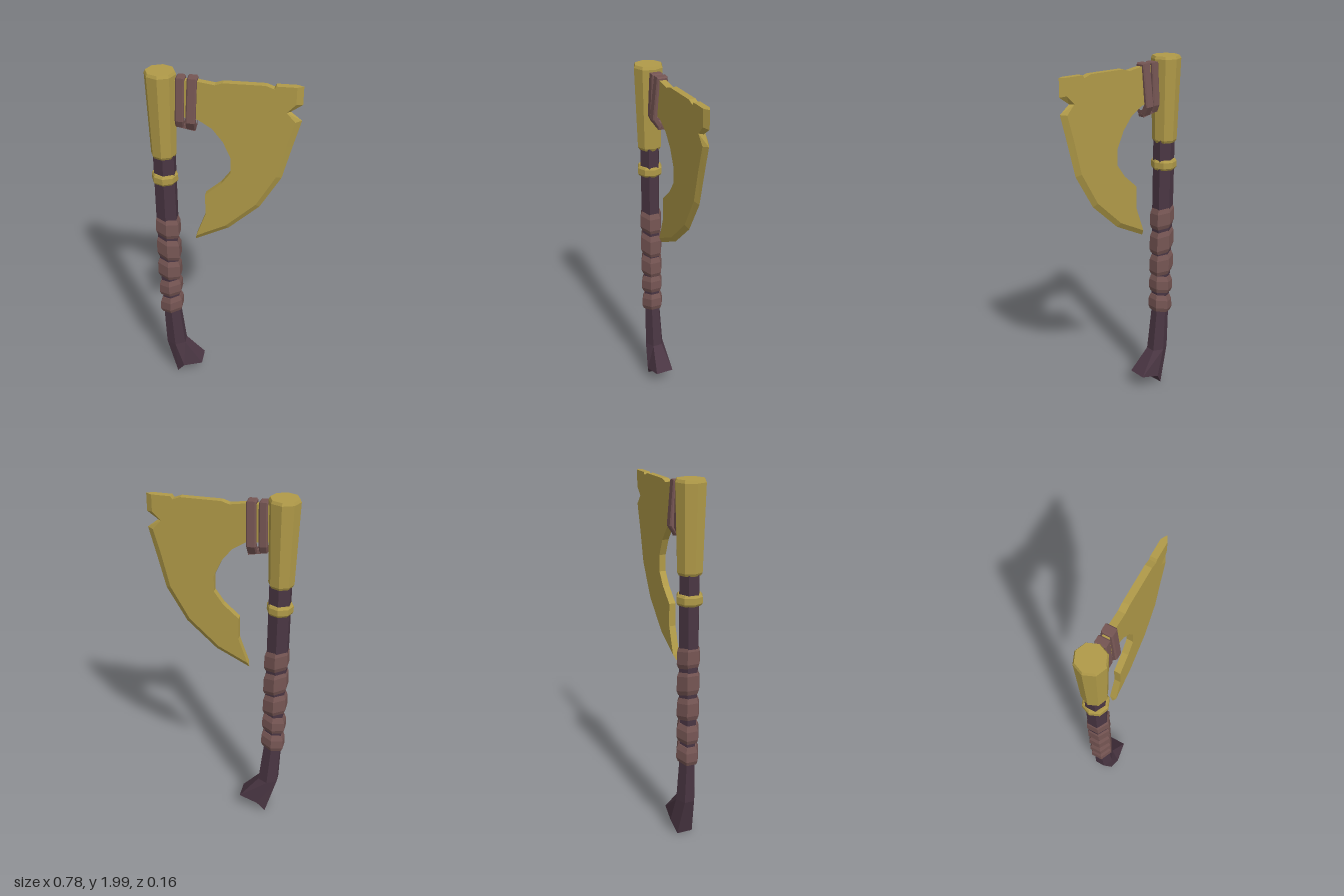
import * as THREE from 'three';

const mat = (name, color) => {
  const m = new THREE.MeshStandardMaterial({ color });
  m.name = name;
  return m;
};

// Horizontal polygon of n corners; slope tilts it along x
function ring(cx, y, rx, rz, n, start = 0, slope = 0) {
  return Array.from({ length: n }, (_, j) => {
    const a = start + (j / n) * Math.PI * 2;
    const dx = Math.cos(a) * rx;
    return new THREE.Vector3(cx + dx, y + slope * dx, -Math.sin(a) * rz);
  });
}

// Flat-shaded triangles from a list of corner points
function facets(points) {
  const g = new THREE.BufferGeometry().setFromPoints(points);
  g.computeVertexNormals();
  return g;
}

// Skin over rings listed from bottom to top, with capped ends
function loft(rings) {
  const pts = [];
  const n = rings[0].length;
  const centre = (r) => r.reduce((s, p) => s.add(p), new THREE.Vector3()).divideScalar(n);
  const low = rings[0], high = rings[rings.length - 1];
  const lowMid = centre(low), highMid = centre(high);
  for (let j = 0; j < n; j++) {
    const k = (j + 1) % n;
    for (let i = 0; i < rings.length - 1; i++) {
      const a = rings[i], b = rings[i + 1];
      pts.push(a[j], a[k], b[k], a[j], b[k], b[j]);
    }
    pts.push(lowMid, low[k], low[j], highMid, high[j], high[k]);
  }
  return facets(pts);
}

export function createModel() {
  const gold = mat('aged gold', 0xb09a48);
  const wood = mat('dark wood', 0x4a3643);
  const leather = mat('brown leather', 0x755553);
  const model = new THREE.Group();
  model.name = 'axe';
  const add = (name, geometry, material, parent = model) => {
    const mesh = new THREE.Mesh(geometry, material);
    mesh.name = name;
    parent.add(mesh);
    return mesh;
  };
  const hex = Math.PI / 6;

  // Six-sided handle flaring into a forked foot
  const foot = [
    [-0.125, 0.105, -0.053], [-0.235, 0.08, -0.068], [-0.28, 0.01, -0.045],
    [-0.28, 0.01, 0.045], [-0.235, 0.08, 0.068], [-0.125, 0.105, 0.053],
  ].map((p) => new THREE.Vector3(...p));
  add('handle', loft([
    foot,
    ring(-0.287, 0.24, 0.064, 0.056, 6, hex),
    ring(-0.305, 0.5, 0.054, 0.046, 6, hex),
    ring(-0.31, 1.1, 0.064, 0.055, 6, hex),
    ring(-0.31, 1.56, 0.063, 0.056, 6, hex),
  ]), wood);

  // Leather grip: five tilted bands
  const grip = new THREE.Group();
  grip.name = 'grip';
  model.add(grip);
  [
    [1.03, 1.155, -0.307, -0.18], [0.88, 1.015, -0.307, -0.25], [0.74, 0.865, -0.308, -0.15],
    [0.615, 0.72, -0.307, 0.15], [0.49, 0.595, -0.305, 0.2],
  ].forEach(([y0, y1, cx, slope], i) => {
    add('gripBand' + (i + 1), loft([
      ring(cx, y0, 0.064, 0.056, 6, hex, slope),
      ring(cx, y0 + 0.025, 0.074, 0.066, 6, hex, slope),
      ring(cx, y1 - 0.03, 0.072, 0.064, 6, hex, slope),
      ring(cx, y1, 0.06, 0.052, 6, hex, slope),
    ]), leather, grip);
  });

  // Eight-sided socket on the head and ring below it
  const octagons = (rows) => loft(rows.map(([y, r]) => ring(-0.312, y, r, r, 8)));
  add('socket', octagons([[1.53, 0.06], [1.545, 0.068], [1.985, 0.081], [2.0, 0.074]]), gold);
  add('collarRing', octagons([[1.375, 0.063], [1.387, 0.071], [1.42, 0.071], [1.432, 0.063]]), gold);

  // Blade body, with a bevelled cutting edge running from top to tip
  const T = 0.018;
  const bevelStart = [
    [0.36, 1.96], [0.36, 1.87], [0.315, 1.825], [0.36, 1.775], [0.322, 1.64],
    [0.278, 1.457], [0.175, 1.277], [0.015, 1.128], [-0.148, 1.045],
  ];
  const cuttingEdge = [
    [0.392, 1.96], [0.392, 1.865], [0.335, 1.825], [0.392, 1.78], [0.352, 1.63],
    [0.305, 1.445], [0.195, 1.257], [0.03, 1.105], [-0.155, 1.012],
  ];
  const outline = [
    [-0.26, 1.96], [-0.125, 1.96], [-0.04, 1.947], [0, 1.96], [0.21, 1.96], [0.25, 1.945], [0.26, 1.96],
    ...bevelStart,
    [-0.095, 1.19], [-0.095, 1.315], [-0.01, 1.39], [0.04, 1.46], [0.04, 1.55],
    [0, 1.64], [-0.055, 1.71], [-0.125, 1.755], [-0.26, 1.77],
  ].map((p) => new THREE.Vector2(...p));
  const body = new THREE.ExtrudeGeometry(new THREE.Shape(outline), { depth: 2 * T, bevelEnabled: false });
  add('blade', body.translate(0, 0, -T), gold);

  const v = ([x, y], z) => new THREE.Vector3(x, y, z);
  const edge = [];
  for (let i = 0; i < bevelStart.length - 1; i++) {
    const a = bevelStart[i], b = bevelStart[i + 1], c = cuttingEdge[i], d = cuttingEdge[i + 1];
    edge.push(v(a, T), v(b, T), v(d, 0), v(a, T), v(d, 0), v(c, 0));
    edge.push(v(a, -T), v(d, 0), v(b, -T), v(a, -T), v(c, 0), v(d, 0));
  }
  const last = bevelStart.length - 1;
  edge.push(v(bevelStart[0], T), v(cuttingEdge[0], 0), v(bevelStart[0], -T));
  edge.push(v(bevelStart[last], -T), v(cuttingEdge[last], 0), v(bevelStart[last], T));
  add('cuttingEdge', facets(edge), gold);

  // Two leather straps looped around the neck of the blade
  const loop = (half) => {
    const right = half.map(([x, y]) => new THREE.Vector2(x, y));
    const left = half.map(([x, y]) => new THREE.Vector2(-x, y)).reverse();
    return [...right, ...left];
  };
  const strap = (name, x, width, wide, low, tilt) => {
    const shape = new THREE.Shape(loop([[0.024, 1.97], [wide, 1.75], [0.018, low]]));
    shape.holes.push(new THREE.Path(loop([[0.016, 1.955], [wide - 0.016, 1.765], [0.01, low + 0.025]])));
    const g = new THREE.ExtrudeGeometry(shape, {
      depth: width - 0.014, bevelThickness: 0.007, bevelSize: 0.006, bevelSegments: 1,
    });
    g.translate(0, -1.84, -(width - 0.014) / 2).rotateY(Math.PI / 2).rotateZ(tilt).translate(x, 1.84, 0);
    add(name, g, leather);
  };
  strap('innerStrap', -0.215, 0.045, 0.034, 1.715, -0.03);
  strap('outerStrap', -0.156, 0.05, 0.046, 1.705, -0.04);

  // Slack end of the strap hanging under the neck
  const slack = new THREE.BoxGeometry(0.1, 0.022, 0.04);
  add('strapTie', slack.rotateZ(-0.2), leather).position.set(-0.187, 1.712, 0);

  return model;
}
